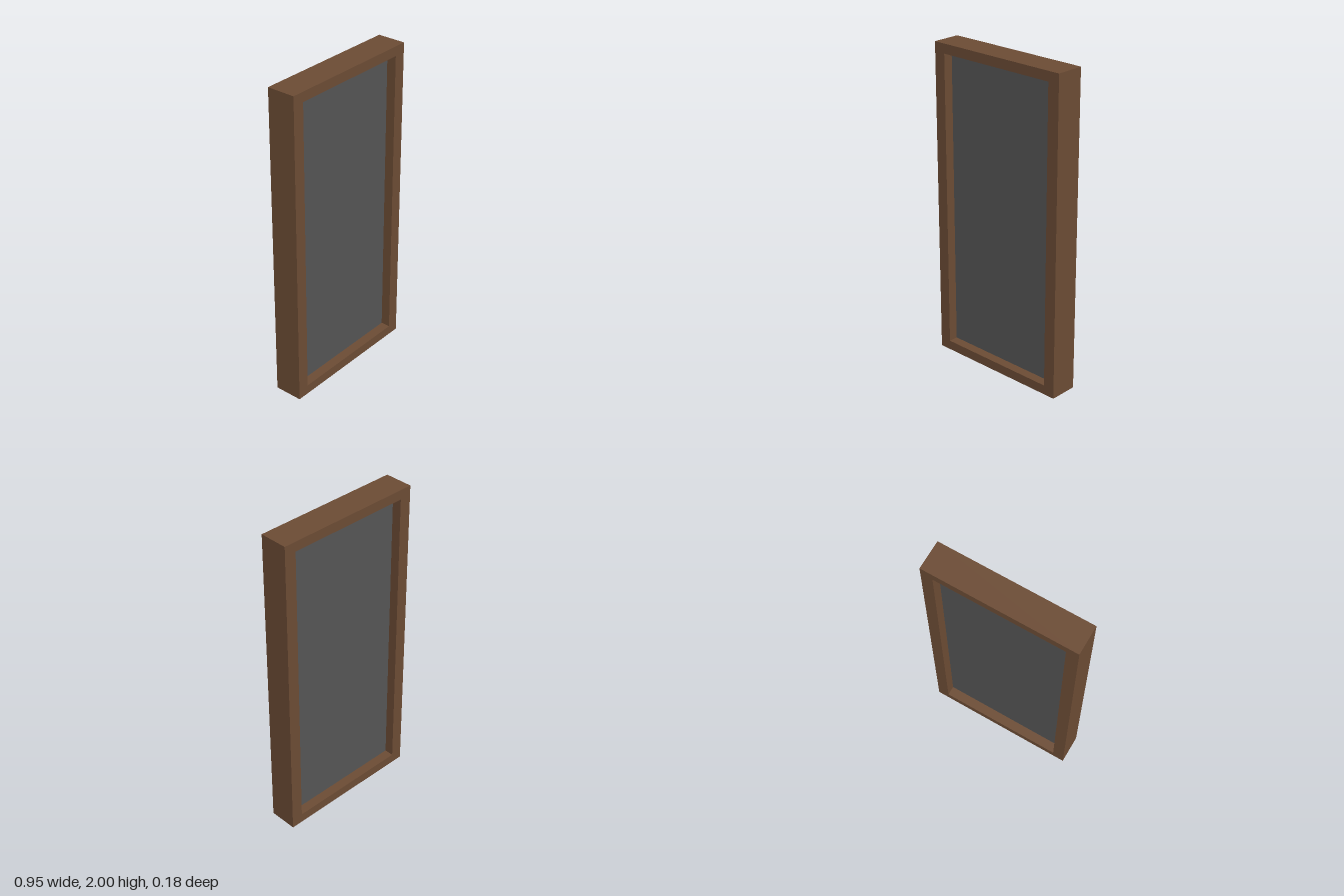
import * as THREE from 'three';

const WIDTH = 0.95, HEIGHT = 2, DEPTH = 0.18;
const STILE = 0.075, RAIL = 0.06, PANE_DEPTH = 0.06;

// Rectangular outline centred on x
function rectangle(Type, halfWidth, bottom, top) {
  return new Type([
    new THREE.Vector2(-halfWidth, bottom),
    new THREE.Vector2(halfWidth, bottom),
    new THREE.Vector2(halfWidth, top),
    new THREE.Vector2(-halfWidth, top),
  ]);
}

export function createModel() {
  const wood = new THREE.MeshStandardMaterial({ color: 0x6b4b34 });
  wood.name = 'brown wood';
  const glass = new THREE.MeshStandardMaterial({ color: 0x545454 });
  glass.name = 'dark grey glass';

  const model = new THREE.Group();
  model.name = 'framedPane';

  // Frame: one solid border around the opening
  const outline = rectangle(THREE.Shape, WIDTH / 2, 0, HEIGHT);
  outline.holes.push(rectangle(THREE.Path, WIDTH / 2 - STILE, RAIL, HEIGHT - RAIL));
  const frameGeometry = new THREE.ExtrudeGeometry(outline, { depth: DEPTH, bevelEnabled: false });
  frameGeometry.translate(0, 0, -DEPTH / 2);
  const frame = new THREE.Mesh(frameGeometry, wood);
  frame.name = 'frame';
  model.add(frame);

  // Pane: recessed equally from front and back
  const pane = new THREE.Mesh(
    new THREE.BoxGeometry(WIDTH - 2 * STILE, HEIGHT - 2 * RAIL, PANE_DEPTH), glass);
  pane.name = 'pane';
  pane.position.y = HEIGHT / 2;
  model.add(pane);

  return model;
}
